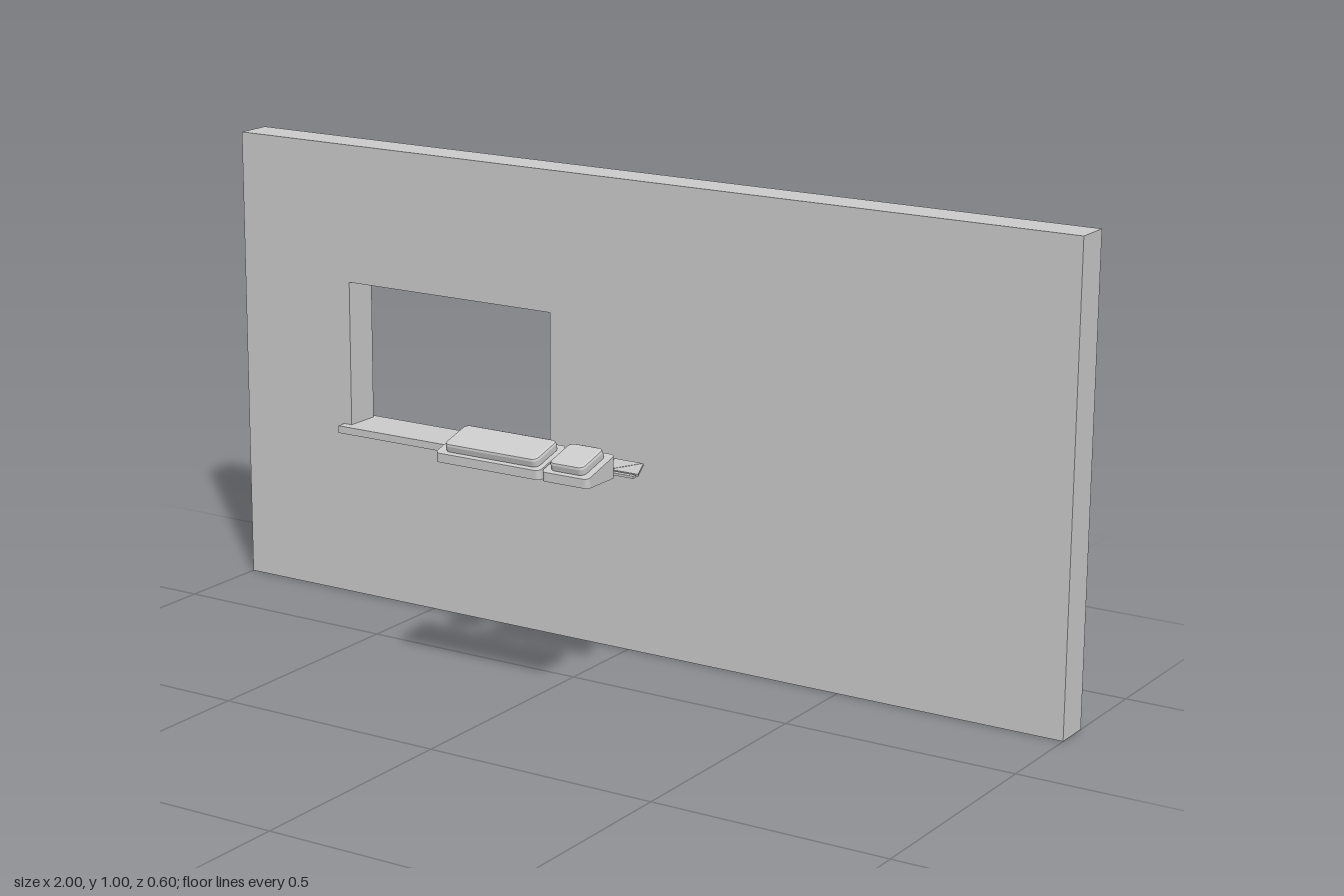
import * as THREE from 'three';

const material = new THREE.MeshStandardMaterial({ color: 0xcccccc, flatShading: true });

function addPart(parent, name, geometry) {
  const mesh = new THREE.Mesh(geometry, material);
  mesh.name = name;
  parent.add(mesh);
  return mesh;
}

function box(parent, name, [x0, x1], [y0, y1], [z0, z1]) {
  const mesh = addPart(parent, name, new THREE.BoxGeometry(x1 - x0, y1 - y0, z1 - z0));
  mesh.position.set((x0 + x1) / 2, (y0 + y1) / 2, (z0 + z1) / 2);
  return mesh;
}

// Rounded rectangle centred on the origin
function roundedRect(w, d, r) {
  const s = new THREE.Shape();
  s.absarc(w / 2 - r, d / 2 - r, r, 0, Math.PI / 2);
  s.absarc(-w / 2 + r, d / 2 - r, r, Math.PI / 2, Math.PI);
  s.absarc(-w / 2 + r, -d / 2 + r, r, Math.PI, Math.PI * 1.5);
  s.absarc(w / 2 - r, -d / 2 + r, r, Math.PI * 1.5, Math.PI * 2);
  s.closePath();
  return s;
}

// Wedge base with a sloped top, carrying a raised pad that follows the slope
function slopedUnit(name, [x0, x1], [p0, p1]) {
  const group = new THREE.Group();
  group.name = name;
  const zMid = 0.25, bottom = 0.509, slope = 0.28;

  const base = new THREE.ExtrudeGeometry(roundedRect(x1 - x0, 0.097, 0.01),
    { depth: 0.032, bevelEnabled: false, curveSegments: 4 });
  base.rotateX(-Math.PI / 2);
  const pos = base.attributes.position;
  for (let i = 0; i < pos.count; i++) {
    if (pos.getY(i) > 0.01) pos.setY(i, pos.getY(i) - slope * pos.getZ(i));
  }
  base.computeVertexNormals();
  addPart(group, 'wedgeBase', base).position.set((x0 + x1) / 2, bottom, zMid);

  const bevel = 0.006;
  const pad = new THREE.ExtrudeGeometry(roundedRect(p1 - p0 - 2 * bevel, 0.07, 0.007), {
    depth: 0.011, bevelEnabled: true, bevelThickness: bevel, bevelSize: bevel,
    bevelSegments: 2, curveSegments: 4,
  });
  pad.rotateX(-Math.PI / 2);
  const padMesh = addPart(group, 'raisedPad', pad);
  padMesh.rotation.x = Math.atan(slope);
  padMesh.position.set((p0 + p1) / 2, bottom + 0.033, zMid);
  return group;
}

export function createModel() {
  const model = new THREE.Group();
  model.name = 'wallWithWindow';

  // Wall with a rectangular window opening
  const wall = new THREE.Shape([[-1, 0], [1, 0], [1, 1], [-1, 1]].map(p => new THREE.Vector2(...p)));
  wall.holes.push(new THREE.Path(
    [[-0.715, 0.37], [-0.715, 0.7], [-0.195, 0.7], [-0.195, 0.37]].map(p => new THREE.Vector2(...p))));
  const wallMesh = addPart(model, 'wall',
    new THREE.ExtrudeGeometry(wall, { depth: 0.08, bevelEnabled: false }));
  wallMesh.position.z = -0.288;

  // Window sill projecting on both sides
  box(model, 'windowSill', [-0.735, -0.175], [0.366, 0.382], [-0.299, -0.186]);

  // Two sloped units side by side
  model.add(slopedUnit('wideUnit', [-0.128, 0.118], [-0.112, 0.107]));
  model.add(slopedUnit('narrowUnit', [0.122, 0.229], [0.134, 0.214]));

  // Low round dome
  const profile = [[0, 0], [0.04, 0], [0.04, 0.005], [0.032, 0.01], [0.018, 0.014], [0, 0.015]]
    .map(p => new THREE.Vector2(...p));
  addPart(model, 'roundDome', new THREE.LatheGeometry(profile, 32))
    .position.set(-0.093, 0.496, 0.115);

  // Row of alternating flat triangles with a thin strip in front
  const row = new THREE.Group();
  row.name = 'triangleRow';
  model.add(row);
  for (let i = 0; i < 7; i++) {
    const dir = i % 2 ? -1 : 1;
    const tri = new THREE.Shape([[-0.033, -0.036 * dir], [0.033, -0.036 * dir], [0, 0.036 * dir]]
      .map(p => new THREE.Vector2(...p)));
    const geo = new THREE.ExtrudeGeometry(tri, { depth: 0.005, bevelEnabled: false });
    geo.rotateX(-Math.PI / 2);
    addPart(row, 'triangle', geo).position.set(0.003 + i * 0.035, 0.5, 0.11);
  }
  box(row, 'strip', [-0.031, 0.245], [0.5, 0.505], [0.152, 0.163]);

  return model;
}
